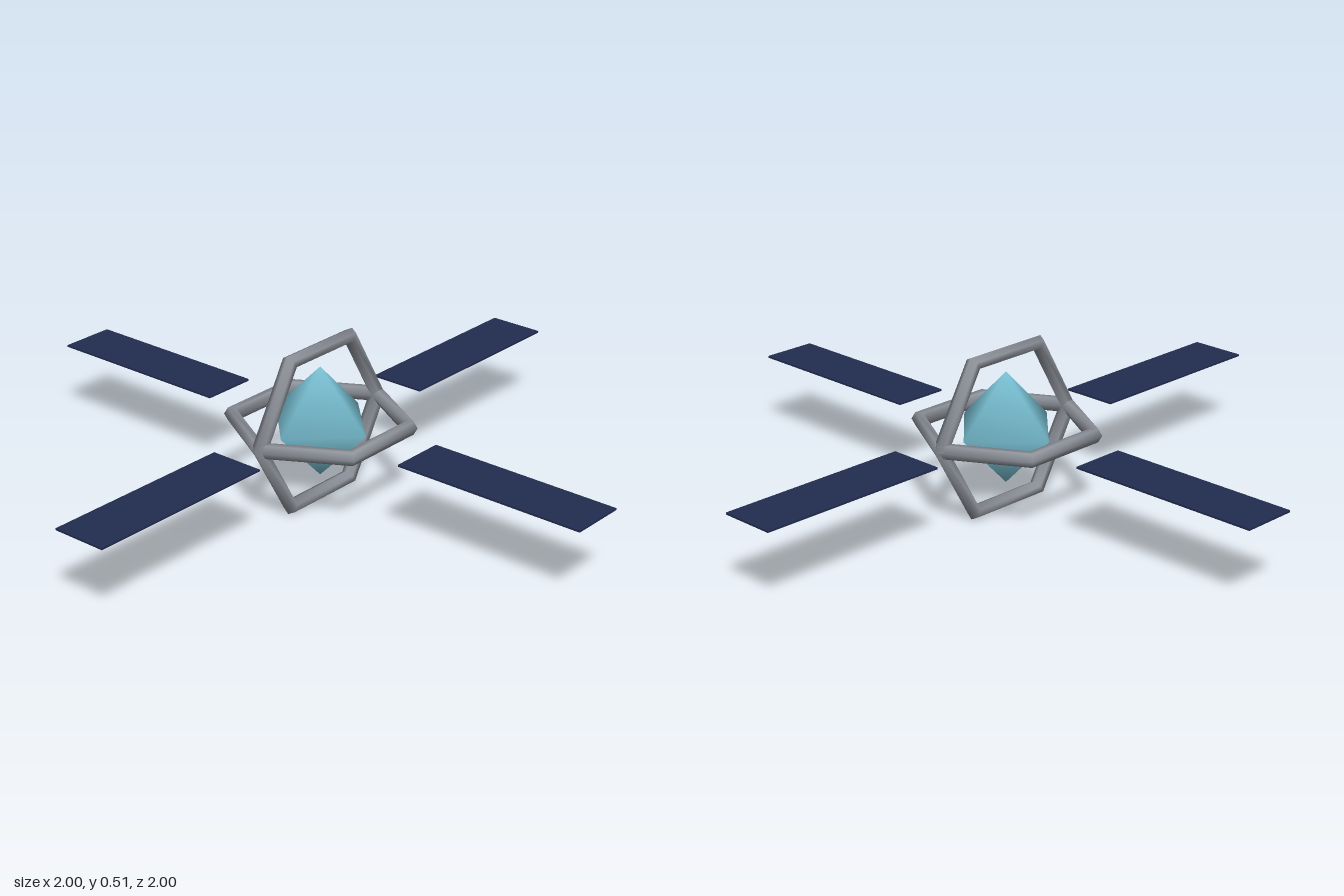
import * as THREE from 'three';
import { mergeVertices } from 'three/addons/utils/BufferGeometryUtils.js';

const CENTER_Y = 0.26;

function material(name, color) {
  const m = new THREE.MeshStandardMaterial({ color });
  m.name = name;
  return m;
}

export function createModel() {
  const grey = material('frame grey', 0x8a8e96);
  const cyan = material('crystal cyan', 0x7ec8dc);
  const navy = material('panel navy', 0x222c4f);

  const model = new THREE.Group();
  model.name = 'satellite';
  const add = (name, geometry, mat) => {
    const mesh = new THREE.Mesh(geometry, mat);
    mesh.name = name;
    mesh.position.y = CENTER_Y;
    model.add(mesh);
    return mesh;
  };

  // Crystal core: octahedron with shared corners, so its shading is smooth
  let core = new THREE.OctahedronGeometry(0.178);
  core.deleteAttribute('uv');
  core.deleteAttribute('normal');
  core = mergeVertices(core);
  core.computeVertexNormals();
  add('crystalCore', core, cyan);

  // Two crossed hexagonal rings, sharing corners on the x axis
  const ring = new THREE.TorusGeometry(0.271, 0.0245, 6, 6);
  add('uprightRing', ring, grey);
  add('levelRing', ring, grey).rotation.x = Math.PI / 2;

  // Four thin panels pointing outward
  const panel = new THREE.BoxGeometry(0.63, 0.006, 0.178);
  panel.translate(0.685, 0, 0);
  ['left', 'back', 'right', 'front'].forEach((side, i) => {
    add(side + 'Panel', panel, navy).rotation.y = i * Math.PI / 2;
  });

  return model;
}
